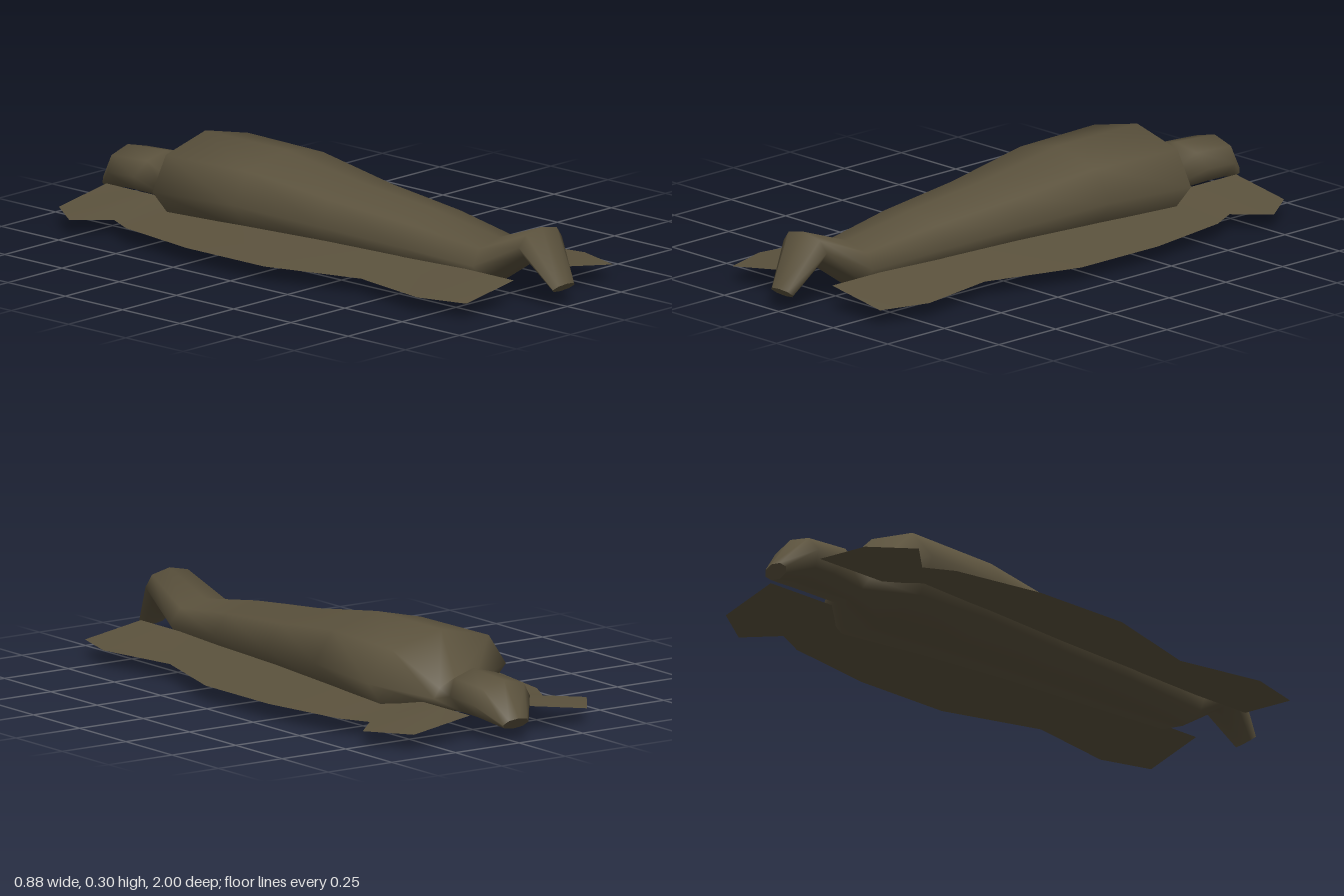
import * as THREE from 'three';

// Smooth or flat surface from points and triangle indices
function surface(points, index, name, material) {
  const g = new THREE.BufferGeometry();
  g.setAttribute('position', new THREE.Float32BufferAttribute(points, 3));
  g.setIndex(index);
  g.computeVertexNormals();
  const mesh = new THREE.Mesh(g, material);
  mesh.name = name;
  return mesh;
}

const SIDES = 8;

// Points of one tilted octagonal ring: [topZ, topY, bottomZ, bottomY, halfWidth]
function ring([tz, ty, bz, by, w]) {
  const pts = [];
  for (let j = 0; j < SIDES; j++) {
    const a = (j / SIDES) * Math.PI * 2;
    const c = Math.cos(a);
    pts.push(w * Math.sin(a), (ty + by) / 2 + (c * (ty - by)) / 2, (tz + bz) / 2 + (c * (tz - bz)) / 2);
  }
  return pts;
}

export function createModel() {
  const group = new THREE.Group();
  group.name = 'wrappedFigure';
  const cloth = new THREE.MeshStandardMaterial({ color: 0x5b523d, side: THREE.DoubleSide });
  cloth.name = 'drab cloth';

  // Body from the head (back) to the feet (front)
  const sections = [
    [-1.0, 0.08, -0.965, 0.04, 0.05],
    [-0.92, 0.19, -0.88, 0.055, 0.115],
    [-0.75, 0.2, -0.82, 0.055, 0.115],
    [-0.66, 0.14, -0.68, 0.055, 0.095],
    [-0.58, 0.296, -0.535, 0.0, 0.27],
    [-0.23, 0.295, -0.23, 0.02, 0.245],
    [0.1, 0.247, 0.1, 0.03, 0.2],
    [0.42, 0.216, 0.42, 0.033, 0.17],
    [0.7, 0.174, 0.72, 0.035, 0.13],
    [0.89, 0.242, 0.875, 0.14, 0.1],
    [1.0, 0.075, 0.97, 0.045, 0.05],
  ];
  const index = [];
  for (let i = 0; i < sections.length - 1; i++) {
    for (let j = 0; j < SIDES; j++) {
      const a = i * SIDES + j, c = i * SIDES + ((j + 1) % SIDES);
      index.push(a, a + SIDES, c, c, a + SIDES, c + SIDES);
    }
  }
  group.add(surface(sections.flatMap(ring), index, 'body', cloth));

  // End caps of the head and feet
  const fan = [];
  for (let j = 1; j < SIDES - 1; j++) fan.push(0, j, j + 1);
  group.add(surface(ring(sections[0]), fan, 'headCap', cloth));
  group.add(surface(ring(sections[sections.length - 1]), [...fan].reverse(), 'footCap', cloth));

  // Spread cloth on each side: [z, outer x]
  const outline = [
    [-0.9, 0.34], [-0.76, 0.44], [-0.66, 0.34], [-0.56, 0.39], [-0.25, 0.44],
    [0.09, 0.44], [0.42, 0.34], [0.71, 0.39], [0.88, 0.34],
  ];
  for (const s of [1, -1]) {
    const pts = outline.flatMap(([z, x]) => [s * 0.12, 0.087, z, s * x, 0.052, z]);
    const tris = [];
    for (let i = 0; i < outline.length - 1; i++) {
      const a = i * 2;
      if (s > 0) tris.push(a, a + 2, a + 1, a + 1, a + 2, a + 3);
      else tris.push(a, a + 1, a + 2, a + 1, a + 3, a + 2);
    }
    group.add(surface(pts, tris, s > 0 ? 'leftClothFlap' : 'rightClothFlap', cloth));
  }
  return group;
}
